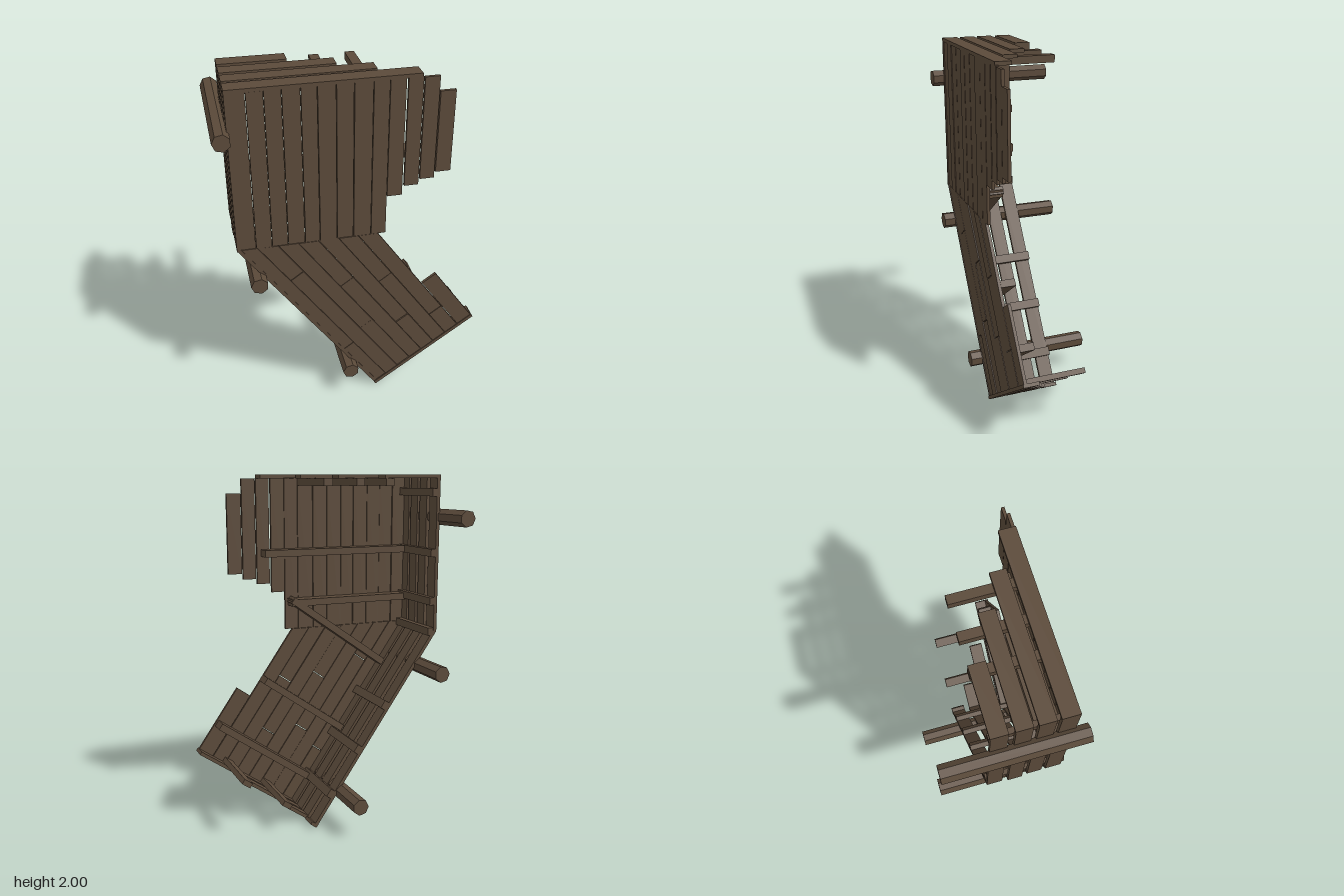
import * as THREE from 'three';

export function createModel() {
  const model = new THREE.Group();
  const wood = new THREE.MeshStandardMaterial({ color: 0x5b4a3a });
  wood.name = 'weathered brown wood';

  let seed = 7;
  const rnd = () => (seed = (seed * 16807) % 2147483647) / 2147483647;
  const jitter = (a) => (rnd() - 0.5) * 2 * a;

  function group(name) {
    const g = new THREE.Group();
    g.name = name;
    model.add(g);
    return g;
  }
  function add(parent, name, geometry) {
    const m = new THREE.Mesh(geometry, wood);
    m.name = name;
    parent.add(m);
    return m;
  }
  // Rectangular timber running between two points of the xy plane
  function beam(parent, name, [x1, y1], [x2, y2], thick, z0, z1) {
    const len = Math.hypot(x2 - x1, y2 - y1);
    const m = add(parent, name, new THREE.BoxGeometry(len, thick, z1 - z0));
    m.position.set((x1 + x2) / 2, (y1 + y2) / 2, (z0 + z1) / 2);
    m.rotation.z = Math.atan2(y2 - y1, x2 - x1);
    return m;
  }

  // Bend and end of the leaning lower section
  const bend = [-0.64, 1.105], foot = [0.12, 0.012];
  const down = [0.571, -0.821], across = [0.814, 0.581];
  const at = (s, t) => [foot[0] + across[0] * s - down[0] * t, foot[1] + across[1] * s - down[1] * t];
  const fullLength = (s) => (1.105 - foot[1] - across[1] * s) / 0.821;

  // Upper front: vertical planks, [left, right, bottom, top]
  const upper = group('upperFrontPlanks');
  const planks = [];
  const edges = [-0.635, -0.54, -0.455, -0.37, -0.28, -0.2, -0.108, -0.02, 0.075, 0.157];
  for (let i = 0; i < 9; i++) planks.push([edges[i], edges[i + 1], 1.107, 1.98]);
  planks.push([0.157, 0.24, 1.33, 1.98], [0.247, 0.326, 1.382, 1.98],
    [0.33, 0.41, 1.412, 1.975], [0.413, 0.497, 1.445, 1.895]);
  for (const [l, r, b, t] of planks) {
    const x = (l + r) / 2, dz = jitter(0.003);
    beam(upper, 'upperFrontPlank', [x, b], [x, t], r - l - 0.003, 0.277 + dz, 0.294 + dz);
  }

  // Lower front: leaning planks mitred at the bend, most in two staggered lengths
  const lower = group('lowerFrontPlanks');
  function leaningPlank(s0, s1, t0, t1a, t1b) {
    const pts = [at(s0, t0), at(s1, t0), at(s1, t1b), at(s0, t1a)].map((p) => new THREE.Vector2(...p));
    const m = add(lower, 'lowerFrontPlank',
      new THREE.ExtrudeGeometry(new THREE.Shape(pts), { depth: 0.017, bevelEnabled: false }));
    m.position.z = 0.276 + jitter(0.003);
  }
  const splits = [0.36, 0.98, 0.42, 0.75, 0.3, 0.62, 0.2];
  const w = 0.0886;
  splits.forEach((cut, i) => {
    const s0 = i * w + 0.0015, s1 = (i + 1) * w - 0.0015;
    const c = Math.min(cut, fullLength(s1) - 0.1);
    leaningPlank(s0, s1, 0.01, c - 0.002, c - 0.002);
    leaningPlank(s0, s1, c + 0.002, fullLength(s0), fullLength(s1));
  });
  leaningPlank(7 * w + 0.003, 0.718, 0.01, 0.425, 0.425);

  // Four rows of boards around the rim: top, wall, leaning wall and end
  const rows = [[0.208, 0.296], [0.106, 0.188], [0, 0.082], [-0.115, -0.03]];
  const topEnds = [0.32, 0.12, -0.06, -0.29];
  const endLengths = [0.722, 0.44, 0.185, 0.045];
  const rim = group('rimBoards');
  rows.forEach(([z0, z1], i) => {
    beam(rim, 'topBoard', [-0.64, 1.989], [topEnds[i], 1.987], 0.02, z0, z1);
    beam(rim, 'wallBoard', [-0.63, 1.1 - (i === 2 ? 0.03 : 0)], [-0.63, 1.98], 0.02, z0 + 0.002, z1);
    beam(rim, 'leaningWallBoard', at(0.01, 0), at(0.01, 1.325), 0.02, z0, z1 - 0.002);
    beam(rim, 'endBoard', at(0, 0), at(endLengths[i], 0), 0.02, z0 + jitter(0.003), z1 + jitter(0.003));
  });

  // Battens tying the rows together on the inside
  const battens = group('innerBattens');
  for (const y of [1.9, 1.56, 1.28])
    beam(battens, 'wallBatten', [-0.605, y - 0.022], [-0.605, y + 0.022], 0.03, -0.115, 0.275);
  beam(battens, 'bendBatten', [-0.6, 1.08], [-0.6, 1.125], 0.035, -0.115, 0.275);
  for (const t of [0.2, 0.5, 0.8])
    beam(battens, 'leaningWallBatten', at(0.035, t - 0.025), at(0.035, t + 0.025), 0.03, -0.115, 0.275);
  for (const x of [0.05, -0.14, -0.32])
    beam(battens, 'topBatten', [x - 0.025, 1.957], [x + 0.025, 1.957], 0.04, -0.118, 0.275);
  for (const s of [0.24, 0.525])
    beam(battens, 'endBatten', at(s - 0.028, 0.025), at(s + 0.028, 0.025), 0.03, -0.115, 0.275);

  // Braces on edge behind the front planks
  const braces = group('frontBraces');
  beam(braces, 'levelBrace', [-0.6, 1.56], [0.3, 1.56], 0.04, 0.2, 0.278);
  beam(braces, 'levelBrace', [-0.6, 1.27], [0.14, 1.27], 0.04, 0.2, 0.278);
  for (const [t, len] of [[1.03, 0.74], [0.55, 0.62], [0.19, 0.71]])
    beam(braces, 'slantedBrace', at(0.02, t), at(len, t), 0.04, 0.195, 0.278);

  // Rough round posts outside the wall, running front to back
  const posts = group('supportPosts');
  for (const [x, y] of [[-0.672, 1.762], [-0.54, 0.905], [-0.043, 0.195]]) {
    const geo = new THREE.CylinderGeometry(0.047, 0.047, 0.715, 7).toNonIndexed();
    geo.computeVertexNormals();
    const m = add(posts, 'supportPost', geo);
    m.rotation.set(Math.PI / 2, 0.2, 0);
    m.position.set(x, y, 0);
  }
  return model;
}
